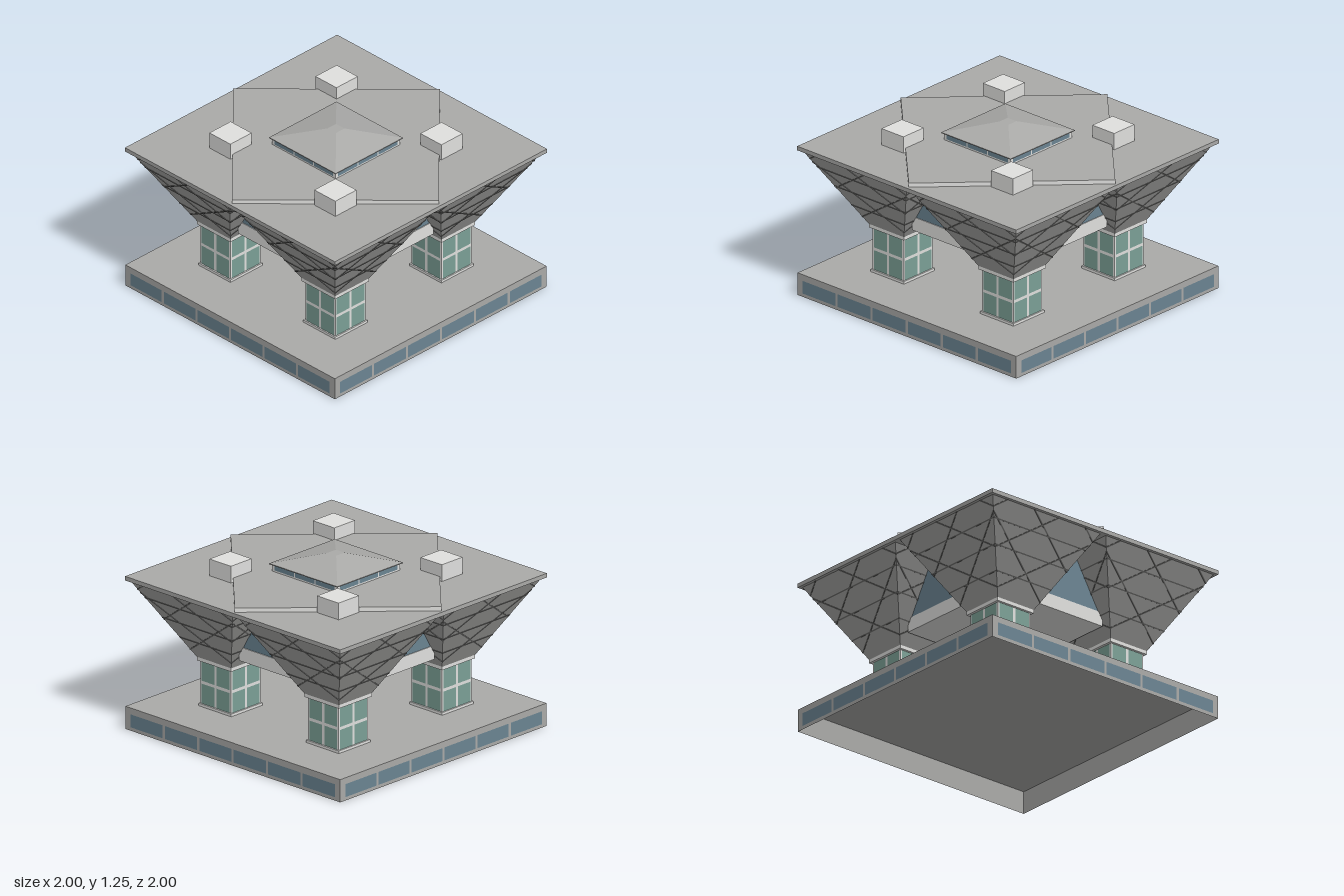
import * as THREE from 'three';

const mat = (name, color, extra = {}) => {
  const m = new THREE.MeshStandardMaterial({ color, ...extra });
  m.name = name;
  return m;
};

export function createModel() {
  const root = new THREE.Group();
  const concrete = mat('concrete', 0xaaaaa8, { side: THREE.DoubleSide });
  const pale = mat('paleConcrete', 0xe0e0de);
  const hullGrey = mat('hullGrey', 0xa8a8a6);
  const ribGrey = mat('ribGrey', 0x6c6c6a);
  const blueGlass = mat('blueGlass', 0x6b8492);
  const greenGlass = mat('greenGlass', 0x7ba096);

  const add = (parent, name, geo, material, x = 0, y = 0, z = 0) => {
    const mesh = new THREE.Mesh(geo, material);
    mesh.name = name;
    mesh.position.set(x, y, z);
    parent.add(mesh);
    return mesh;
  };
  // box given by its width, depth and bottom / top heights
  const block = (parent, name, material, w, d, y0, y1, x = 0, z = 0) =>
    add(parent, name, new THREE.BoxGeometry(w, y1 - y0, d), material, x, (y0 + y1) / 2, z);
  // square frustum standing on y = 0
  const frustum = (bottom, top, h) => {
    const g = new THREE.CylinderGeometry(top * Math.SQRT2, bottom * Math.SQRT2, h, 4, 1)
      .rotateY(Math.PI / 4).translate(0, h / 2, 0).toNonIndexed();
    g.computeVertexNormals();
    return g;
  };
  // runs fn once for each of the four sides, in a group whose +z faces outward
  const fourSides = (parent, name, fn) => {
    for (let i = 0; i < 4; i++) {
      const side = new THREE.Group();
      side.name = name;
      side.rotation.y = i * Math.PI / 2;
      parent.add(side);
      fn(side);
    }
  };
  // row of n flat panes on the plane z
  const paneRow = (parent, name, material, n, half, gap, y0, y1, z) => {
    const pitch = (2 * half + gap) / n;
    for (let i = 0; i < n; i++)
      add(parent, name, new THREE.PlaneGeometry(pitch - gap, y1 - y0), material,
        -half + pitch * i + (pitch - gap) / 2, (y0 + y1) / 2, z);
  };

  // podium: hollow, open underneath
  const podium = new THREE.BoxGeometry(1.996, 0.163, 1.996);
  const idx = Array.from(podium.index.array);
  idx.splice(18, 6);
  podium.setIndex(idx);
  podium.clearGroups();
  add(root, 'podium', podium, concrete, 0, 0.0815, 0);
  fourSides(root, 'podiumSide', s => paneRow(s, 'podiumWindow', blueGlass, 6, 0.95, 0.02, 0.025, 0.118, 1));

  // inverted pyramid dimensions
  const y0 = 0.515, rise = 0.57, bottom = 0.16, top = 0.488;
  const slope = (top - bottom) / rise, tilt = Math.atan(slope), stretch = 1 / Math.cos(tilt);

  // thin rib between two points (x, height) of a pyramid face
  const rib = (face, xa, ta, xb, tb) => {
    const dx = xb - xa, dy = (tb - ta) * stretch;
    const m = add(face, 'hullRib', new THREE.BoxGeometry(Math.hypot(dx, dy), 0.009, 0.006), ribGrey,
      (xa + xb) / 2, (ta + tb) / 2 * stretch, 0);
    m.rotation.z = Math.atan2(dy, dx);
  };
  // diagonal rib x = c + m t, clipped to the tapering face
  const diagonal = (face, c, m) => {
    let lo = 0, hi = rise;
    for (const s of [1, -1]) {
      const a = s * m - slope, b = bottom - s * c;   // a t <= b
      if (a > 0) hi = Math.min(hi, b / a); else lo = Math.max(lo, b / a);
    }
    if (hi - lo > 0.02) rib(face, c + m * lo, lo, c + m * hi, hi);
  };

  for (const sx of [-1, 1]) for (const sz of [-1, 1]) {
    const tower = new THREE.Group();
    tower.name = 'tower';
    tower.position.set(sx * 0.5, 0, sz * 0.5);
    root.add(tower);

    // glazed pillar, standing on the podium
    block(tower, 'pillarPlinth', pale, 0.305, 0.305, 0.1635, 0.182);
    block(tower, 'pillarFrame', pale, 0.284, 0.284, 0.18, 0.495);
    block(tower, 'pillarCollar', pale, 0.32, 0.32, 0.49, 0.516);
    fourSides(tower, 'pillarSide', s => {
      paneRow(s, 'pillarPane', greenGlass, 2, 0.13, 0.02, 0.183, 0.325, 0.144);
      paneRow(s, 'pillarPane', greenGlass, 2, 0.13, 0.02, 0.346, 0.488, 0.144);
    });

    // flaring hull with its rib pattern
    add(tower, 'hull', frustum(bottom, top, rise), hullGrey, 0, y0, 0);
    fourSides(tower, 'hullSide', s => {
      const face = new THREE.Group();
      face.name = 'hullFace';
      face.position.set(0, y0, bottom);
      face.rotation.x = tilt;
      s.add(face);
      for (let k = 1; k < 4; k++) {
        const t = k * rise / 4, w = bottom + slope * t;
        rib(face, -w, t, w, t);
      }
      for (let k = -2; k <= 2; k++) {
        const c = 0.27 + k * 0.45;
        diagonal(face, c, -1.5);
        diagonal(face, -c, 1.5);
      }
    });

    block(root, 'roofBox', pale, 0.2, 0.2, 1.09, 1.215, sx * 0.5, sz * 0.5);
  }

  // crossing halls between the towers
  for (const turn of [0, Math.PI / 2]) {
    const hall = new THREE.Group();
    hall.name = 'hall';
    hall.rotation.y = turn;
    root.add(hall);
    block(hall, 'hallFloor', pale, 0.55, 1.3, 0.585, 0.685);
    block(hall, 'hallGlass', blueGlass, 0.53, 1.29, 0.685, 1.07);
  }

  // roof deck with raised diamond, its rim paler than its top
  block(root, 'roofDeck', concrete, 2, 2, 1.065, 1.095);
  add(root, 'roofDiamond', frustum(0.98 / Math.SQRT2, 0.98 / Math.SQRT2, 0.032),
    [pale, concrete, concrete], 0, 1.093, 0).rotation.y = Math.PI / 4;

  // skylight
  block(root, 'skylightBand', pale, 0.605, 0.605, 1.12, 1.176);
  fourSides(root, 'skylightSide', s => paneRow(s, 'skylightWindow', blueGlass, 3, 0.28, 0.01, 1.136, 1.167, 0.304));
  block(root, 'skylightEave', concrete, 0.634, 0.634, 1.174, 1.18);
  add(root, 'skylightRoof', frustum(0.317, 0.04, 0.073), concrete, 0, 1.18, 0);
  return root;
}
